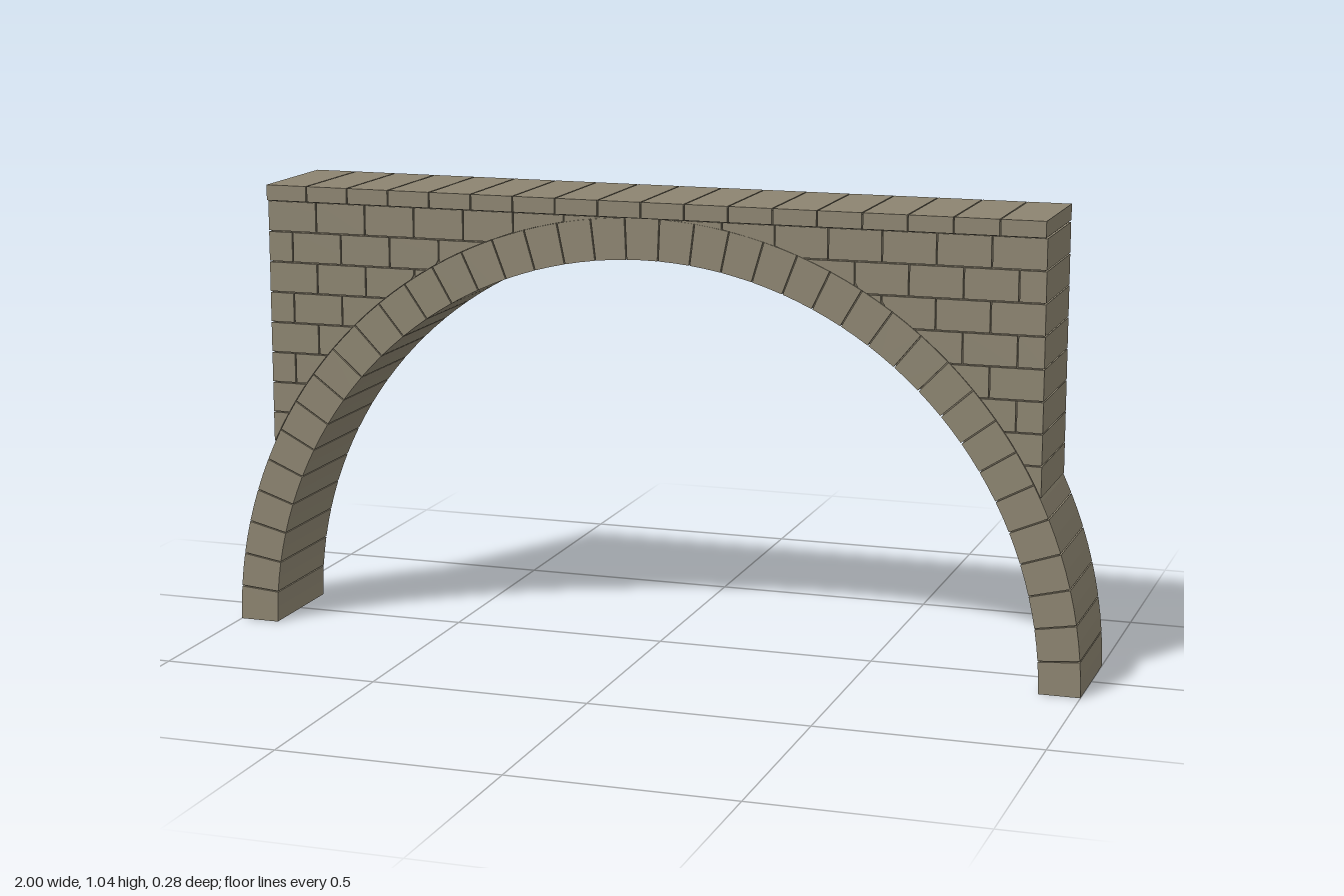
import * as THREE from 'three';

const INNER = 0.907, OUTER = 1, WALL_X = 0.902, WALL_TOP = 1;
const HALF_DEPTH = 0.128, GAP = 0.0015;

export function createModel() {
  const bridge = new THREE.Group();
  bridge.name = 'stoneArch';
  const stone = new THREE.MeshStandardMaterial({ color: 0x8c8470 });
  stone.name = 'stone';
  const mortar = new THREE.MeshStandardMaterial({ color: 0x6b6454 });
  mortar.name = 'mortar';

  const group = (name) => {
    const g = new THREE.Group();
    g.name = name;
    bridge.add(g);
    return g;
  };
  const polar = (r, a) => new THREE.Vector2(r * Math.cos(a), r * Math.sin(a));

  // Extrude an outline to the full thickness, centred on z = 0
  function slab(parent, name, points, halfDepth, material) {
    const geo = new THREE.ExtrudeGeometry(new THREE.Shape(points), {
      depth: halfDepth * 2, bevelEnabled: false,
    });
    geo.translate(0, 0, -halfDepth);
    const mesh = new THREE.Mesh(geo, material);
    mesh.name = name;
    parent.add(mesh);
  }

  // Recessed mortar core behind the joints
  const inset = 0.005;
  const core = [];
  const corner = Math.acos((WALL_X - inset) / (OUTER - inset));
  for (let i = 0; i <= 8; i++) core.push(polar(OUTER - inset, (corner * i) / 8));
  core.push(new THREE.Vector2(WALL_X - inset, WALL_TOP));
  core.push(new THREE.Vector2(-WALL_X + inset, WALL_TOP));
  for (let i = 8; i >= 0; i--) core.push(polar(OUTER - inset, Math.PI - (corner * i) / 8));
  for (let i = 0; i <= 78; i++) core.push(polar(INNER + inset, Math.PI * (1 - i / 78)));
  for (const p of core) p.y = Math.max(p.y, 0.002);
  slab(bridge, 'mortarCore', core, HALF_DEPTH - inset, mortar);

  // Ring of wedge stones
  const ring = group('archRing');
  const WEDGES = 39;
  for (let i = 0; i < WEDGES; i++) {
    const a0 = (Math.PI * i) / WEDGES + (i > 0 ? GAP : 0);
    const a1 = (Math.PI * (i + 1)) / WEDGES - (i < WEDGES - 1 ? GAP : 0);
    const mid = (a0 + a1) / 2;
    slab(ring, 'wedgeStone', [
      polar(OUTER, a0), polar(OUTER, mid), polar(OUTER, a1),
      polar(INNER, a1), polar(INNER, mid), polar(INNER, a0),
    ], HALF_DEPTH, stone);
  }

  // Coursed blocks above the haunches, trimmed to the arch curve
  const COURSES = 8, COURSE = 0.0705, BLOCK = 0.12;
  const arcX = (y) => Math.sqrt(Math.max(0, OUTER * OUTER - y * y)) + GAP;
  for (const side of [1, -1]) {
    const wall = group(side > 0 ? 'leftWall' : 'rightWall');
    for (let c = 0; c < COURSES; c++) {
      const y1 = WALL_TOP - c * COURSE - GAP;
      const y0 = WALL_TOP - (c + 1) * COURSE + GAP;
      let right = WALL_X;
      let width = c % 2 ? BLOCK / 2 : BLOCK;
      while (right > arcX(y1) + 0.004) {
        const left = right - width;
        const points = [];
        // Inner edge follows the curve wherever it cuts the block
        const steps = 6;
        const start = Math.max(y0, Math.sqrt(Math.max(0, OUTER * OUTER - (right - GAP) ** 2)));
        if (y1 - start > 0.003) {
          if (start > y0) points.push(new THREE.Vector2(right, start));
          else points.push(new THREE.Vector2(right, y0));
          points.push(new THREE.Vector2(right, y1));
          for (let s = steps; s >= 0; s--) {
            const y = start + ((y1 - start) * s) / steps;
            const x = Math.min(right - 0.0005, Math.max(left + 2 * GAP, arcX(y)));
            points.push(new THREE.Vector2(x, y));
          }
          for (const p of points) p.x *= side;
          slab(wall, 'wallBlock', points, HALF_DEPTH, stone);
        }
        right = left;
        width = BLOCK;
      }
    }
  }

  // Overhanging coping slabs along the top
  const coping = group('coping');
  const SLABS = 18, pitch = (WALL_X * 2) / SLABS, height = 0.037;
  const slabGeo = new THREE.BoxGeometry(pitch - 2 * GAP, height - GAP, 0.277);
  for (let i = 0; i < SLABS; i++) {
    const mesh = new THREE.Mesh(slabGeo, stone);
    mesh.name = 'copingSlab';
    mesh.position.set(-WALL_X + pitch * (i + 0.5), WALL_TOP + (height + GAP) / 2, 0);
    coping.add(mesh);
  }
  const bed = new THREE.Mesh(
    new THREE.BoxGeometry(WALL_X * 2 - 0.01, height - 0.005, 0.267), mortar);
  bed.name = 'copingBed';
  bed.position.y = WALL_TOP + (height - 0.005) / 2;
  coping.add(bed);

  return bridge;
}
